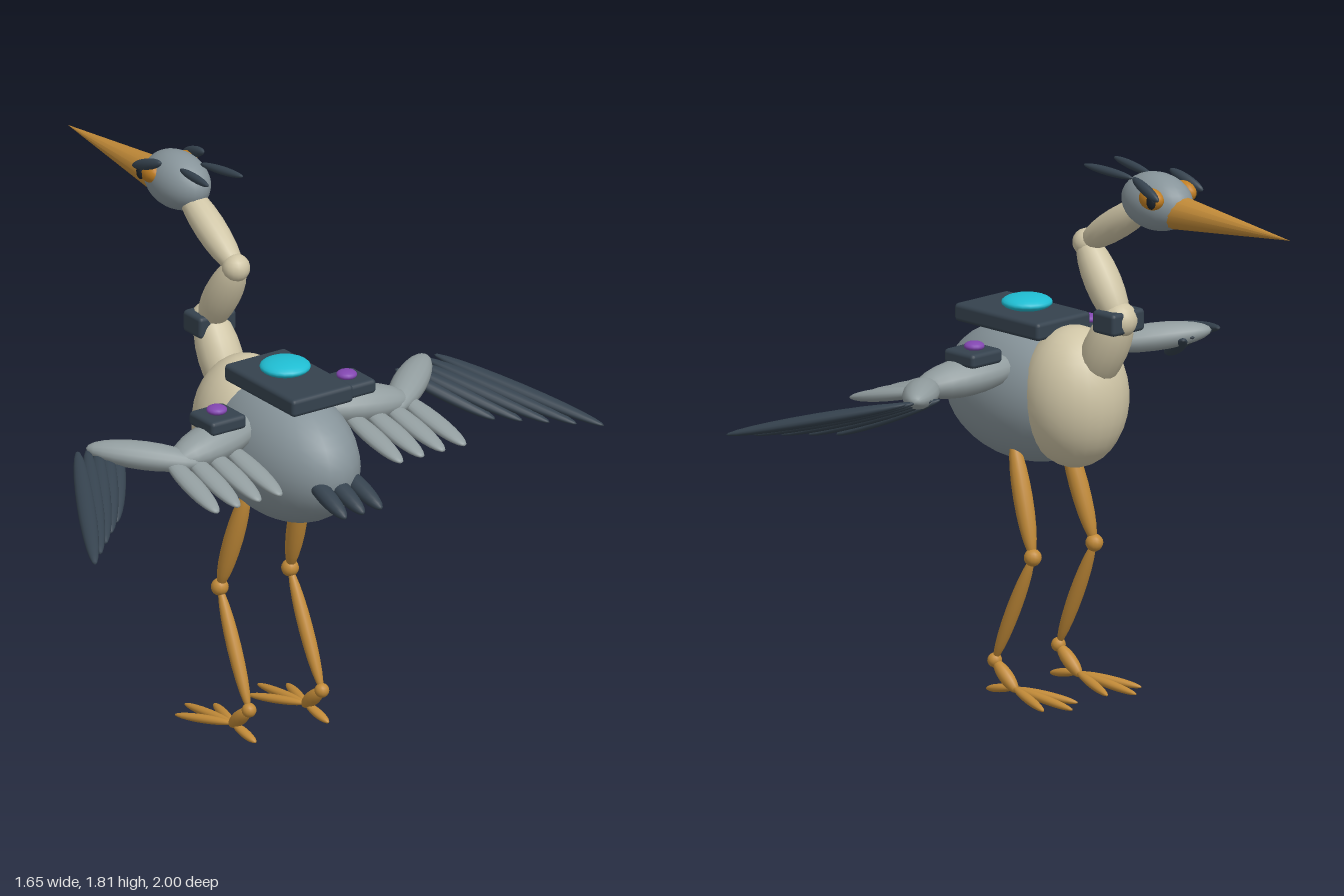
import * as THREE from 'three';
import { RoundedBoxGeometry } from 'three/addons/geometries/RoundedBoxGeometry.js';

const mat = (name, color) => Object.assign(new THREE.MeshStandardMaterial({ color }), { name });

export function createModel() {
  const model = new THREE.Group();
  model.name = 'wadingBird';

  const grey = mat('body grey', 0x87949a);
  const paleGrey = mat('wing grey', 0x929d9f);
  const cream = mat('cream', 0xcfc5a6);
  const amber = mat('amber', 0xc18a38);
  const eyeAmber = mat('eye amber', 0xc27f22);
  const slate = mat('slate', 0x35424e);
  const black = mat('pupil black', 0x1b222a);
  const cyan = mat('cyan', 0x1fbdd2);
  const purple = mat('purple', 0x8246b0);

  const add = (parent, name, geometry, material, pos) => {
    const mesh = new THREE.Mesh(geometry, material);
    mesh.name = name;
    mesh.position.set(...pos);
    parent.add(mesh);
    return mesh;
  };
  // Ellipsoid with its centre and three radii
  const blob = (parent, name, material, pos, radii, seg = 24) =>
    add(parent, name, new THREE.SphereGeometry(1, seg, Math.round(seg * 0.7)).scale(...radii), material, pos);
  // Ellipsoid stretched from a to b, with half width and half thickness
  const spindle = (parent, name, material, a, b, width, thick = width) => {
    const p = new THREE.Vector3(...a), q = new THREE.Vector3(...b);
    const along = q.clone().sub(p);
    const half = along.length() / 2;
    along.normalize();
    const side = along.clone().cross(new THREE.Vector3(0, 1, 0)).normalize();
    const up = side.clone().cross(along);
    const geo = new THREE.SphereGeometry(1, 16, 12).rotateZ(-Math.PI / 2).scale(half, thick, width);
    const mesh = add(parent, name, geo, material, p.add(q).multiplyScalar(0.5).toArray());
    mesh.quaternion.setFromRotationMatrix(new THREE.Matrix4().makeBasis(along, up, side));
  };
  const box = (parent, name, size, pos) =>
    add(parent, name, new RoundedBoxGeometry(...size, 2, 0.014), slate, pos);
  const lerp = (a, b, t) => a.map((v, i) => v + (b[i] - v) * t);

  // Body and chest
  blob(model, 'body', grey, [0.377, 0.98, 0], [0.333, 0.226, 0.192], 28);
  blob(model, 'chest', cream, [0.166, 1.0, 0], [0.178, 0.233, 0.173], 24);

  // S-shaped neck with a collar
  const neck = new THREE.Group();
  neck.name = 'neck';
  model.add(neck);
  spindle(neck, 'lowerNeck', cream, [-0.06, 1.34, 0], [0.11, 1.03, 0], 0.074);
  blob(neck, 'lowerNeckJoint', cream, [-0.038, 1.29, 0], [0.06, 0.06, 0.06], 16);
  spindle(neck, 'middleNeck', cream, [-0.058, 1.255, 0], [0.132, 1.55, 0], 0.06);
  blob(neck, 'upperNeckJoint', cream, [0.113, 1.52, 0], [0.046, 0.046, 0.046], 16);
  spindle(neck, 'upperNeck', cream, [0.135, 1.507, 0], [-0.2, 1.715, 0], 0.052);
  box(neck, 'collar', [0.102, 0.075, 0.145], [-0.034, 1.288, 0]);

  // Head and beak
  const head = new THREE.Group();
  head.name = 'head';
  model.add(head);
  blob(head, 'skull', grey, [-0.213, 1.716, 0], [0.139, 0.095, 0.09]);
  add(head, 'beak', new THREE.ConeGeometry(0.06, 0.545, 14).rotateZ(Math.PI / 2), amber, [-0.55, 1.697, 0]);

  // Paired parts, mirrored across z
  for (const s of [1, -1]) {
    const at = (x, y, z) => [x, y, z * s];

    // Eye, brow and crest plume
    blob(head, 'eye', eyeAmber, at(-0.26, 1.744, 0.073), [0.05, 0.036, 0.03], 16);
    blob(head, 'pupil', black, at(-0.282, 1.742, 0.096), [0.018, 0.025, 0.012], 12);
    spindle(head, 'brow', slate, at(-0.32, 1.752, 0.1), at(-0.185, 1.802, 0.083), 0.016, 0.019);
    spindle(head, 'crestPlume', slate, at(-0.14, 1.785, 0.04), at(0.055, 1.8, 0.068), 0.014, 0.014);

    // Wing arm
    const wing = new THREE.Group();
    wing.name = 'wing';
    model.add(wing);
    spindle(wing, 'upperArm', paleGrey, at(0.345, 1.09, 0.09), at(0.42, 1.06, 0.46), 0.082, 0.062);
    spindle(wing, 'forearm', paleGrey, at(0.46, 1.05, 0.375), at(0.22, 1.09, 0.665), 0.058, 0.045);

    // Short inner feathers
    for (let i = 0; i < 4; i++) {
      const z = 0.225 + i * 0.083;
      spindle(wing, 'innerFeather', paleGrey, at(0.37, 1.06, z + 0.012 - i * 0.01),
        at(0.7, 0.985, z + 0.012), 0.037, 0.022);
    }
    // Long flight feathers fanned from the wrist
    for (let i = 0; i < 5; i++) {
      const t = i / 4;
      spindle(wing, 'flightFeather', slate,
        at(...lerp([0.225, 1.075, 0.545], [0.222, 1.088, 0.7], t)),
        at(...lerp([0.5, 0.945, 0.745], [0.745, 0.945, 1.0], t)), 0.03, 0.02);
    }

    // Wing pod with lamp
    box(wing, 'wingPod', [0.137, 0.048, 0.137], at(0.372, 1.142, 0.255));
    blob(wing, 'wingLamp', purple, at(0.367, 1.175, 0.255), [0.034, 0.016, 0.034], 16);

    // Leg
    const leg = new THREE.Group();
    leg.name = 'leg';
    model.add(leg);
    const knee = at(0.218, 0.48, 0.138), ankle = at(0.388, 0.11, 0.143), foot = at(0.3, 0.034, 0.143);
    spindle(leg, 'thigh', amber, at(0.335, 0.85, 0.112), knee, 0.032);
    blob(leg, 'knee', amber, knee, [0.029, 0.029, 0.029], 14);
    spindle(leg, 'shin', amber, knee, ankle, 0.024);
    blob(leg, 'ankle', amber, ankle, [0.024, 0.024, 0.024], 14);
    spindle(leg, 'footBone', amber, ankle, at(0.285, 0.022, 0.143), 0.024);
    for (const [x, z] of [[0.03, 0.143], [0.085, 0.22], [0.085, 0.066], [0.425, 0.143]])
      spindle(leg, 'toe', amber, foot, at(x, 0.01, z), 0.017, 0.014);
  }

  // Tail feathers
  for (const z of [-0.067, 0, 0.067])
    spindle(model, 'tailFeather', slate, [0.58, 0.985, z * 0.9], [0.823, 0.907, z * 1.05], 0.031, 0.028);

  // Back plate with glowing dome
  box(model, 'backPlate', [0.388, 0.06, 0.24], [0.407, 1.22, 0]);
  blob(model, 'backDome', cyan, [0.386, 1.272, 0], [0.083, 0.026, 0.083], 20);

  return model;
}
